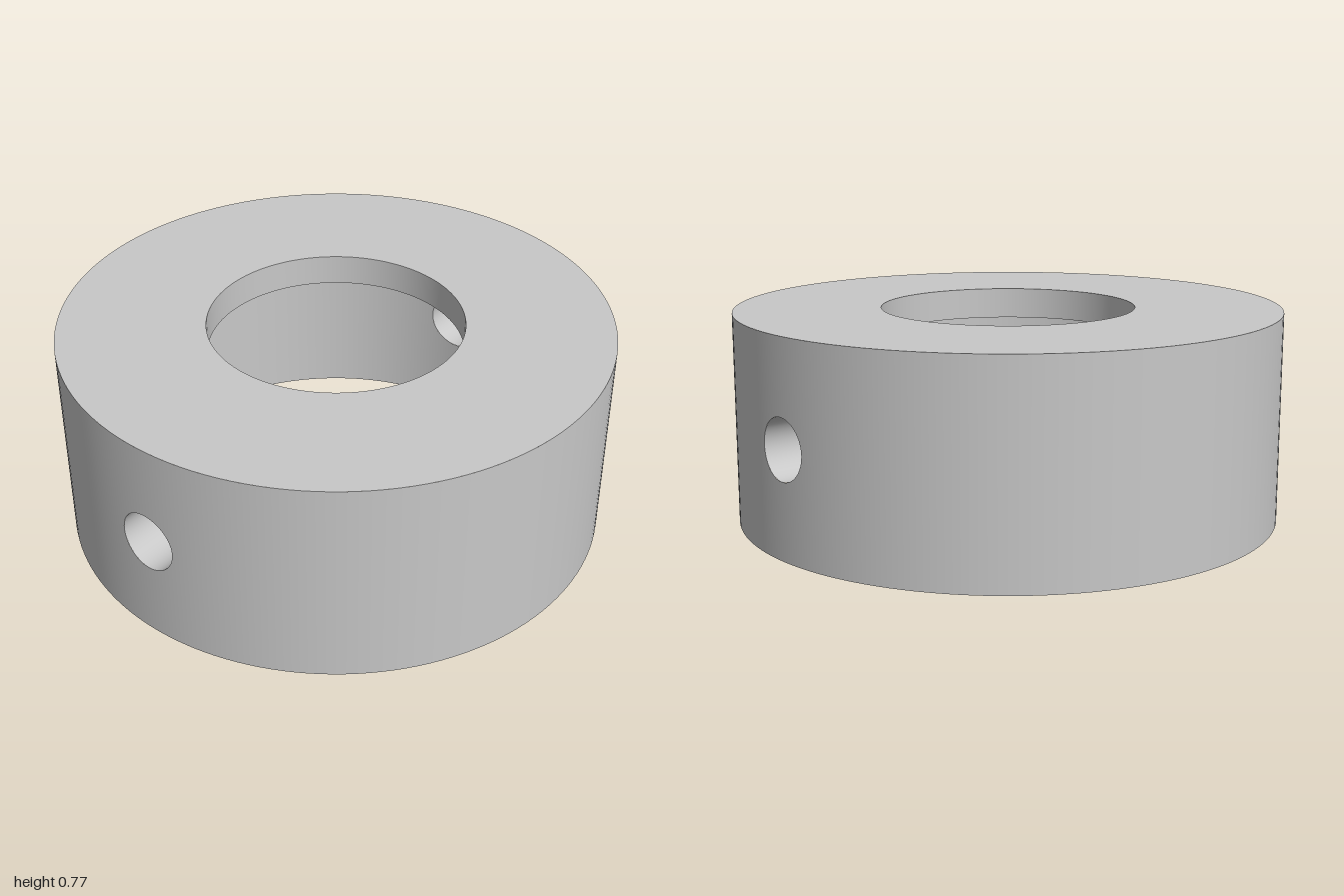
import * as THREE from 'three';

const OUTER = 1, BORE = 0.78, LIP = 0.465;      // radii
const HEIGHT = 0.77, LEDGE = 0.655;             // top face and underside of the top lip
const HOLE = 0.11, HOLE_Y = 0.388;              // cross hole
const PATCH = 0.25;                             // half width of the wall patch around a hole

// Grid surface from point(u, v) and normal(p); winding follows the normal.
function surface(nu, nv, point, normal) {
  const pos = [], nor = [], index = [];
  for (let i = 0; i <= nu; i++) {
    for (let j = 0; j <= nv; j++) {
      const p = point(i / nu, j / nv);
      pos.push(p.x, p.y, p.z);
      nor.push(...normal(p).normalize().toArray());
    }
  }
  const at = (k) => new THREE.Vector3().fromArray(pos, k * 3);
  const face = at(nv + 1).sub(at(0)).cross(at(1).sub(at(0)));
  const flip = face.dot(new THREE.Vector3().fromArray(nor)) < 0;
  for (let i = 0; i < nu; i++) {
    for (let j = 0; j < nv; j++) {
      const a = i * (nv + 1) + j, b = a + nv + 1;
      index.push(...(flip ? [a, a + 1, b, b, a + 1, b + 1] : [a, b, a + 1, b, b + 1, a + 1]));
    }
  }
  const g = new THREE.BufferGeometry();
  g.setAttribute('position', new THREE.Float32BufferAttribute(pos, 3));
  g.setAttribute('normal', new THREE.Float32BufferAttribute(nor, 3));
  g.setIndex(index);
  return g;
}

const onWall = (r, y, z) => new THREE.Vector3(Math.sqrt(r * r - z * z), y, z);
const radial = (sign) => (p) => new THREE.Vector3(p.x * sign, 0, p.z * sign);

// Curved wall around one cross hole, from the hole edge out to a rectangle
function holedPatch(r, top, sign) {
  const corners = [[PATCH, 0], [PATCH, top], [-PATCH, top], [-PATCH, 0]];
  return surface(96, 10, (u, v) => {
    const s = (u * 4) % 4, k = Math.floor(s), f = s - k;
    const a = corners[k], b = corners[(k + 1) % 4];
    const z = a[0] + (b[0] - a[0]) * f, y = a[1] + (b[1] - a[1]) * f;
    const angle = Math.atan2(y - HOLE_Y, z);
    const hz = HOLE * Math.cos(angle), hy = HOLE_Y + HOLE * Math.sin(angle);
    return onWall(r, hy + (y - hy) * v, hz + (z - hz) * v);
  }, radial(sign));
}

// Plain wall between the two patches, on the +z side
function plainWall(r, top, sign) {
  const start = Math.asin(PATCH / r);
  return surface(64, 1, (u, v) => {
    const t = start + (Math.PI - 2 * start) * u;
    return new THREE.Vector3(r * Math.cos(t), top * v, r * Math.sin(t));
  }, radial(sign));
}

export function createModel() {
  const group = new THREE.Group();
  group.name = 'collar';
  const metal = new THREE.MeshStandardMaterial({ color: 0xc8c8c8 });
  metal.name = 'light grey metal';

  const add = (name, geometry, turn = 0) => {
    const mesh = new THREE.Mesh(geometry, metal);
    mesh.name = name;
    mesh.rotation.y = turn;
    group.add(mesh);
  };

  // Walls and cross holes, repeated on the opposite side
  const crossHole = surface(48, 1, (u, v) => {
    const a = u * Math.PI * 2;
    return onWall(BORE + (OUTER - BORE) * v, HOLE_Y + HOLE * Math.sin(a), HOLE * Math.cos(a));
  }, (p) => new THREE.Vector3(0, HOLE_Y - p.y, -p.z));
  const sides = {
    outerWall: plainWall(OUTER, HEIGHT, 1),
    outerWallAroundHole: holedPatch(OUTER, HEIGHT, 1),
    boreWall: plainWall(BORE, LEDGE, -1),
    boreWallAroundHole: holedPatch(BORE, LEDGE, -1),
    crossHole,
  };
  for (const turn of [0, Math.PI]) {
    for (const [name, geometry] of Object.entries(sides)) add(name, geometry, turn);
  }

  // Flat faces
  const ring = (inner, y, up) =>
    new THREE.RingGeometry(inner, inner === BORE || up ? OUTER : BORE, 144)
      .rotateX(up ? -Math.PI / 2 : Math.PI / 2).translate(0, y, 0);
  add('topFace', ring(LIP, HEIGHT, true));
  add('bottomFace', ring(BORE, 0, false));
  add('lipUnderside', ring(LIP, LEDGE, false));

  // Inner edge of the top lip
  add('lipEdge', surface(144, 1, (u, v) => {
    const t = u * Math.PI * 2;
    return new THREE.Vector3(LIP * Math.cos(t), LEDGE + (HEIGHT - LEDGE) * v, LIP * Math.sin(t));
  }, radial(-1)));

  return group;
}
